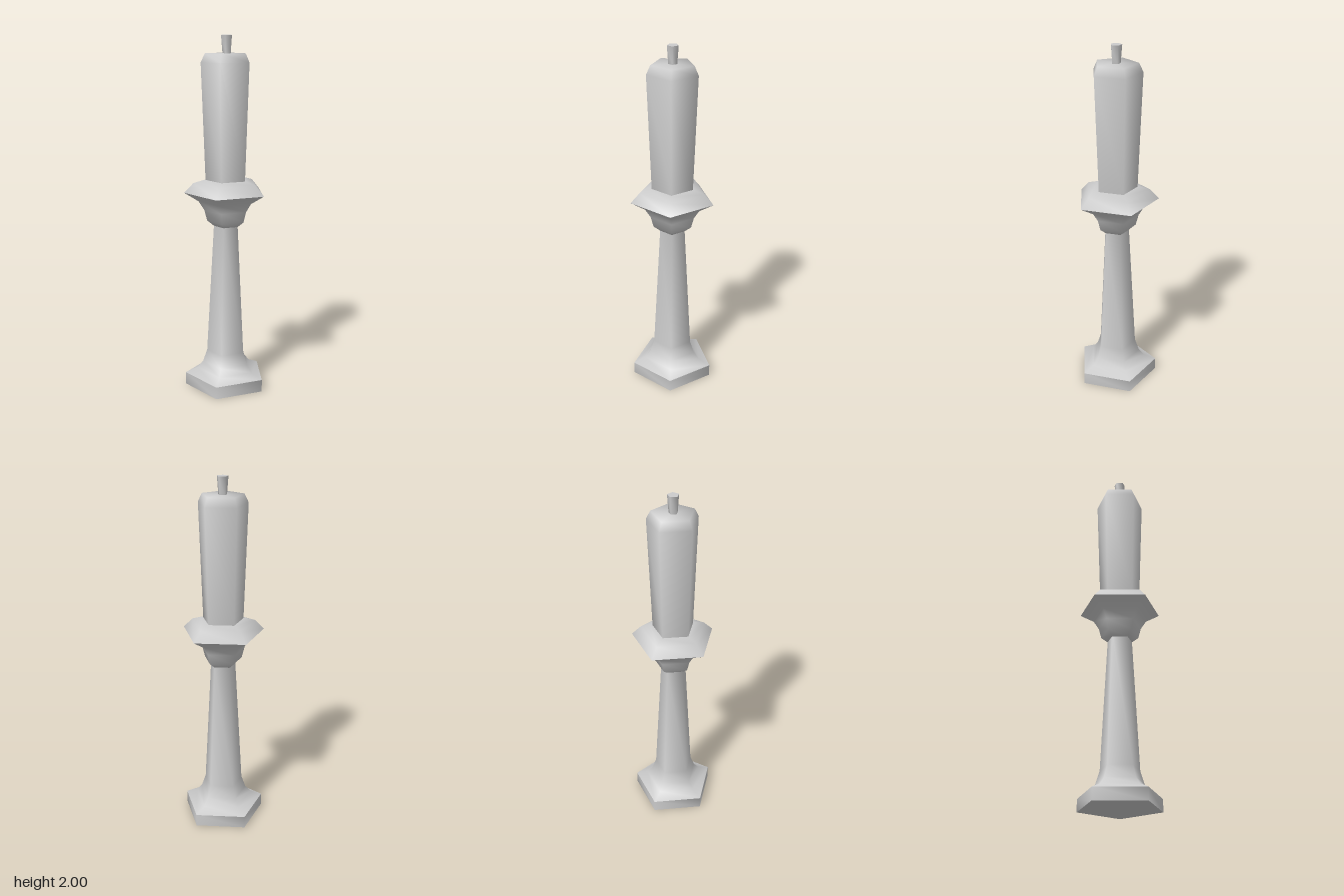
import * as THREE from 'three';
import { toCreasedNormals } from 'three/addons/utils/BufferGeometryUtils.js';

const SIDES = 5;
const AXIS_X = 0.0227; // pentagon axis, offset so the bounds are centred

export function createModel() {
  const group = new THREE.Group();
  group.name = 'candlestick';
  const material = new THREE.MeshStandardMaterial({ color: 0xcccccc });

  // Five-sided turned part from [radius, height] pairs, bottom to top, one corner at -x
  function turned(name, profile) {
    const points = profile.map(([r, y]) => new THREE.Vector2(r, y));
    const lathe = new THREE.LatheGeometry(points, SIDES, -Math.PI / 2);
    const mesh = new THREE.Mesh(toCreasedNormals(lathe, 1.3), material);
    mesh.name = name;
    mesh.position.x = AXIS_X;
    group.add(mesh);
  }

  // Flat foot slab with closed underside
  turned('foot', [[0, 0], [0.238, 0], [0.238, 0.07]]);

  // Flared foot rising into the tapered stem
  turned('stem', [[0.238, 0.07], [0.17, 0.1], [0.137, 0.14], [0.113, 0.21], [0.072, 0.955]]);

  // Drip cup with wide rim
  turned('dripCup', [
    [0, 0.95], [0.073, 0.95], [0.11, 0.98], [0.126, 1.04], [0.157, 1.09],
    [0.238, 1.14], [0.186, 1.195], [0.128, 1.212], [0, 1.212],
  ]);

  // Candle, widening upward, with bevelled top
  turned('candle', [[0.118, 1.205], [0.142, 1.855], [0.119, 1.903], [0, 1.903]]);

  // Wick
  turned('wick', [[0.024, 1.9], [0.032, 2], [0, 2]]);

  return group;
}
